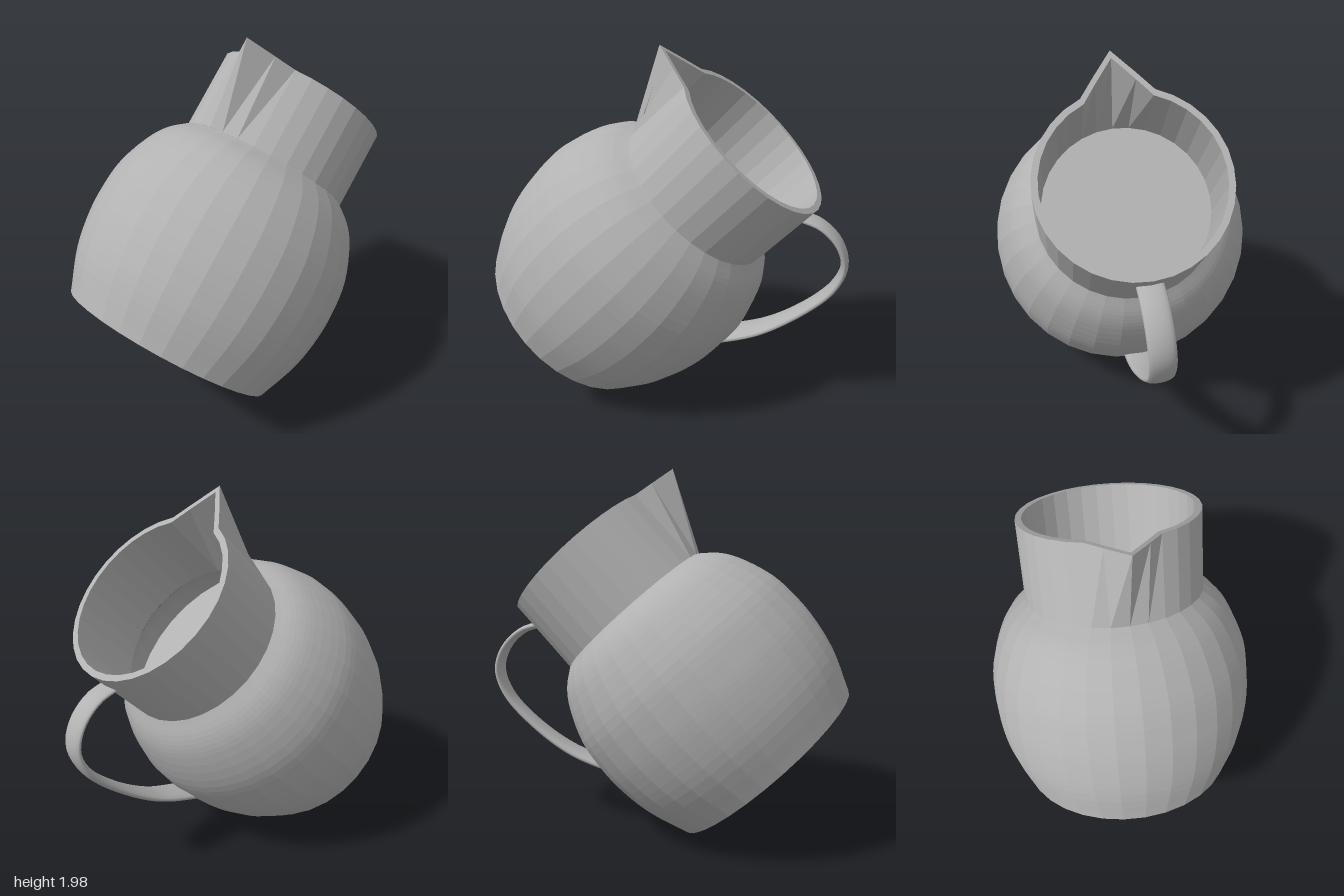
import * as THREE from 'three';

const SIDES = 32;

// Skin a list of closed rings (arrays of Vector3), flat or smooth shaded
function loft(rings, flat) {
  const n = rings[0].length, index = [];
  for (let i = 0; i < rings.length - 1; i++) {
    for (let j = 0; j < n; j++) {
      const k = (j + 1) % n;
      const a = i * n + j, b = i * n + k, c = a + n, d = b + n;
      index.push(a, c, b, c, d, b);
    }
  }
  let geo = new THREE.BufferGeometry().setFromPoints(rings.flat());
  geo.setIndex(index);
  if (flat) geo = geo.toNonIndexed();
  geo.computeVertexNormals();
  return geo;
}

// Round ring; spout pulls the vertices around -x outwards
function ring(r, y, spout = 0) {
  const pull = [0.196, 0.073];
  return Array.from({ length: SIDES }, (_, j) => {
    const a = (j / SIDES) * Math.PI * 2;
    const rr = r + spout * (pull[Math.abs(j - SIDES / 2)] || 0);
    return new THREE.Vector3(rr * Math.cos(a), y, rr * Math.sin(a));
  });
}

export function createModel() {
  const model = new THREE.Group();
  const clay = new THREE.MeshStandardMaterial({ color: 0xb2b2b2 });
  clay.name = 'grey clay';
  const jug = new THREE.Group();
  jug.name = 'jug';
  model.add(jug);
  const add = (name, geo) => {
    const mesh = new THREE.Mesh(geo, clay);
    mesh.name = name;
    jug.add(mesh);
  };

  // Round belly with a flat base
  const profile = new THREE.CatmullRomCurve3([
    [0.59, 0], [0.677, 0.23], [0.711, 0.42], [0.716, 0.56], [0.698, 0.74],
    [0.62, 0.945], [0.56, 1.03], [0.478, 1.1],
  ].map(([x, y]) => new THREE.Vector3(x, y, 0))).getPoints(28);
  add('belly', loft([ring(0, 0), ...profile.map(p => ring(p.x, p.y))], true));

  // Inside of the shoulder, from the neck down to the contents
  const inside = profile.filter(p => p.y > 0.76).reverse();
  add('innerShoulder', loft(inside.map(p => ring(p.x - 0.033, p.y)), true));

  // Neck wall with rim and pointed spout
  add('neck', loft([
    ring(0.479, 1.1), ring(0.479, 1.537, 1), ring(0.446, 1.537, 0.96), ring(0.446, 1.1),
  ], true));

  // Level of the contents
  add('contents', loft([ring(0.67, 0.8), ring(0, 0.8)], true));

  // Strap handle: flat oval section that widens towards the belly
  const path = new THREE.CatmullRomCurve3([
    [0.452, 1.405], [0.567, 1.455], [0.708, 1.45], [0.822, 1.383],
    [0.88, 1.248], [0.878, 1.028], [0.815, 0.755], [0.698, 0.53], [0.66, 0.47],
  ].map(([x, y]) => new THREE.Vector3(x, y, 0)));
  const strap = [];
  for (let i = 0; i <= 40; i++) {
    const t = i / 40, p = path.getPointAt(t), tan = path.getTangentAt(t);
    const wide = 0.068 + 0.028 * THREE.MathUtils.smoothstep(t, 0.5, 0.95);
    const thick = 0.018 + 0.01 * t;
    strap.push(Array.from({ length: 16 }, (_, j) => {
      const a = (j / 16) * Math.PI * 2, c = Math.cos(a) * thick;
      return new THREE.Vector3(p.x + tan.y * c, p.y - tan.x * c, Math.sin(a) * wide);
    }));
  }
  const start = path.getPointAt(0), end = path.getPointAt(1);
  strap.unshift(strap[0].map(() => start.clone()));
  strap.push(strap[1].map(() => end.clone()));
  add('handle', loft(strap, false));

  // Pouring tilt with a slight turn
  jug.rotation.set(0.03, 0.06, -0.743, 'ZXY');
  jug.position.set(-0.565, 0.4, -0.015);
  return model;
}
